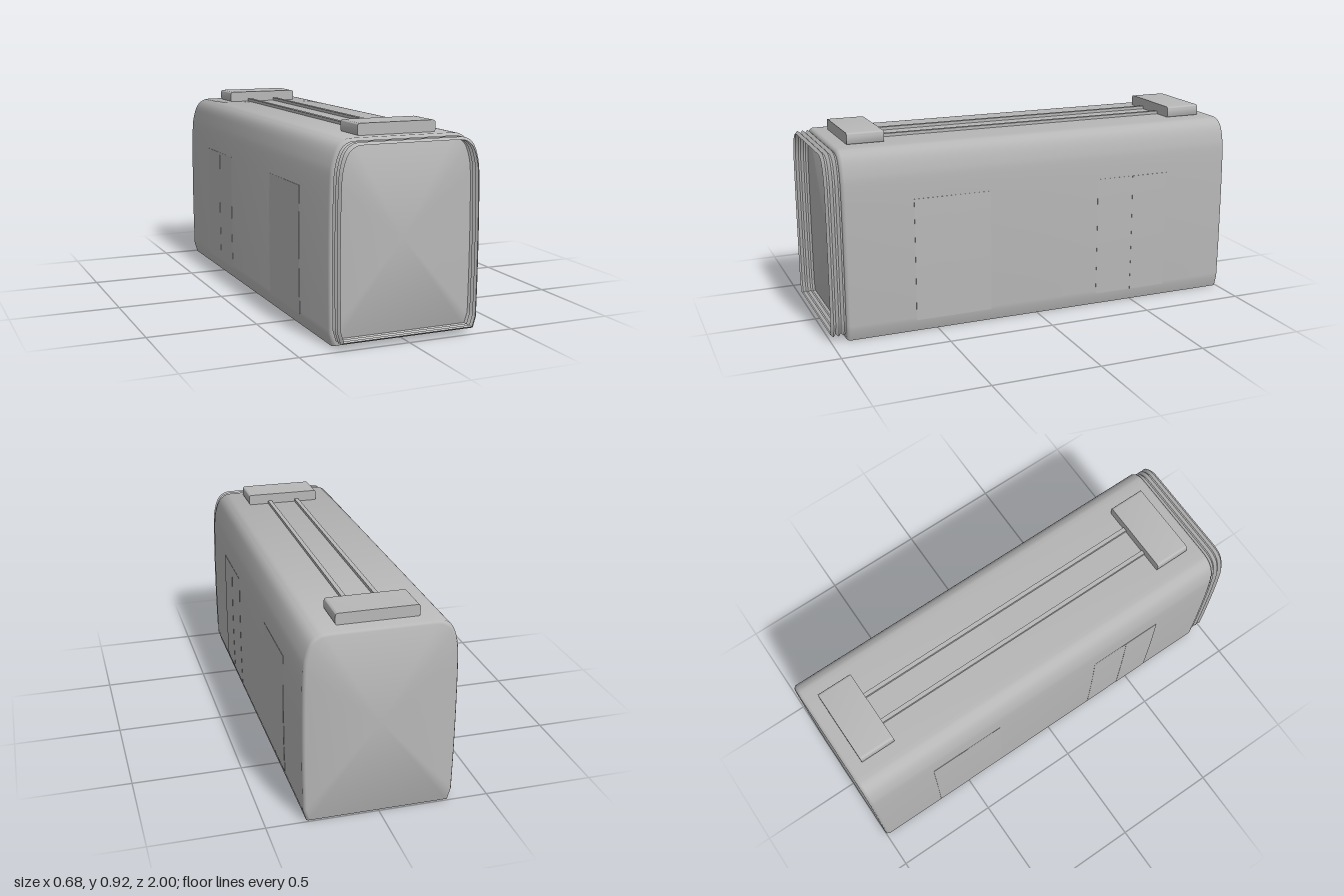
import * as THREE from 'three';
import { toCreasedNormals } from 'three/addons/utils/BufferGeometryUtils.js';

const H = 0.866, HALF = 0.338;

// Right half of the car's cross-section, from the floor edge to the roof
const side = new THREE.SplineCurve([
  [0.335, 0.05], [0.338, 0.25], [0.338, 0.48], [0.334, 0.69], [0.325, 0.77],
  [0.302, 0.832], [0.265, 0.861], [0.22, H],
].map(([x, y]) => new THREE.Vector2(x, y))).getPoints(42);
const half = [new THREE.Vector2(0.32, 0), ...side, new THREE.Vector2(0.1, H)];
const ring = [...half, ...half.map((p) => new THREE.Vector2(-p.x, p.y)).reverse()];

// Skins the cross-section through stations of [z, inset, bottom height]
function loft(stations, capped, crease) {
  const n = ring.length, pos = [], index = [];
  for (const [z, inset, bottom] of stations) {
    for (const p of ring) {
      pos.push(p.x * (1 - inset / HALF), bottom + (p.y / H) * (H - inset - bottom), z);
    }
  }
  for (let s = 0; s < stations.length - 1; s++) {
    for (let i = 0; i < n; i++) {
      const j = (i + 1) % n, a = s * n, b = a + n;
      index.push(a + i, a + j, b + j, a + i, b + j, b + i);
    }
  }
  if (capped) {
    const last = (stations.length - 1) * n, c = pos.length / 3;
    pos.push(0, H / 2, stations[0][0], 0, H / 2, stations.at(-1)[0]);
    for (let i = 0; i < n; i++) {
      const j = (i + 1) % n;
      index.push(c, j, i, c + 1, last + i, last + j);
    }
  }
  const g = new THREE.BufferGeometry();
  g.setAttribute('position', new THREE.Float32BufferAttribute(pos, 3));
  g.setIndex(index);
  return toCreasedNormals(g, crease);
}

// Side height lookup on the sampled wall
function wallX(y) {
  const i = Math.max(1, side.findIndex((p) => p.y >= y));
  const a = side[i - 1], b = side[i];
  return a.x + ((b.x - a.x) * (y - a.y)) / (b.y - a.y);
}

// Thin door leaf that follows the curved wall
function doorLeaf(sign, z0, z1, lift) {
  const y0 = 0.057, y1 = 0.63;
  const wall = [
    new THREE.Vector2(wallX(y0), y0),
    ...side.filter((p) => p.y > y0 && p.y < y1),
    new THREE.Vector2(wallX(y1), y1),
  ];
  const outer = wall.map((p) => new THREE.Vector2(sign * (p.x + lift), p.y));
  const inner = wall.map((p) => new THREE.Vector2(sign * (p.x - 0.003), p.y)).reverse();
  const g = new THREE.ExtrudeGeometry(new THREE.Shape([...outer, ...inner]), {
    depth: z1 - z0, bevelEnabled: false,
  });
  g.translate(0, 0, z0);
  return toCreasedNormals(g, 0.5);
}

// Roof box with softened long edges
function roofBox() {
  const w = 0.182, y0 = 0.864, y1 = 0.917, r = 0.014;
  const s = new THREE.Shape();
  s.moveTo(-w + r, y0);
  s.lineTo(w - r, y0);
  s.quadraticCurveTo(w, y0, w, y0 + r);
  s.lineTo(w, y1 - r);
  s.quadraticCurveTo(w, y1, w - r, y1);
  s.lineTo(-w + r, y1);
  s.quadraticCurveTo(-w, y1, -w, y1 - r);
  s.lineTo(-w, y0 + r);
  s.quadraticCurveTo(-w, y0, -w + r, y0);
  return toCreasedNormals(
    new THREE.ExtrudeGeometry(s, { depth: 0.17, bevelEnabled: false, curveSegments: 4 }), 0.6);
}

export function createModel() {
  const model = new THREE.Group();
  const grey = new THREE.MeshStandardMaterial({ color: 0xb8b8b8 });
  grey.name = 'bodyGrey';
  grey.side = THREE.DoubleSide;

  const add = (name, geometry) => {
    const mesh = new THREE.Mesh(geometry, grey);
    mesh.name = name;
    model.add(mesh);
    return mesh;
  };

  // Car body with slightly rounded ends
  add('carBody', loft([
    [-1, 0.014, 0.008], [-0.996, 0.006, 0.003], [-0.985, 0, 0],
    [0.915, 0, 0], [0.926, 0.006, 0.003], [0.93, 0.014, 0.008],
  ], true, 0.7));

  // Open ribbed gangway at the front
  const folds = [];
  for (let i = 0; i <= 6; i++) {
    const out = i % 2;
    folds.push([0.928 + i * 0.012, out ? 0.009 : 0.02, out ? 0.025 : 0.034]);
  }
  add('gangwayBellows', loft(folds, false, 0.6));

  // Two double doors on each side
  for (const sign of [1, -1]) {
    for (const [start, middle, end] of [[0.605, 0.425, 0.24], [-0.675, -0.49, -0.305]]) {
      add('doorLeafOuter', doorLeaf(sign, Math.min(start, middle), Math.max(start, middle), 0.002));
      add('doorLeafInner', doorLeaf(sign, Math.min(middle, end), Math.max(middle, end), 0.001));
    }
  }

  // Roof boxes and the two conduits between them
  for (const z of [0.69, -0.93]) add('roofBox', roofBox()).position.z = z;
  for (const x of [-0.073, 0.071]) {
    add('roofConduit', new THREE.BoxGeometry(0.02, 0.018, 1.46)).position.set(x, 0.871, -0.035);
  }

  return model;
}
